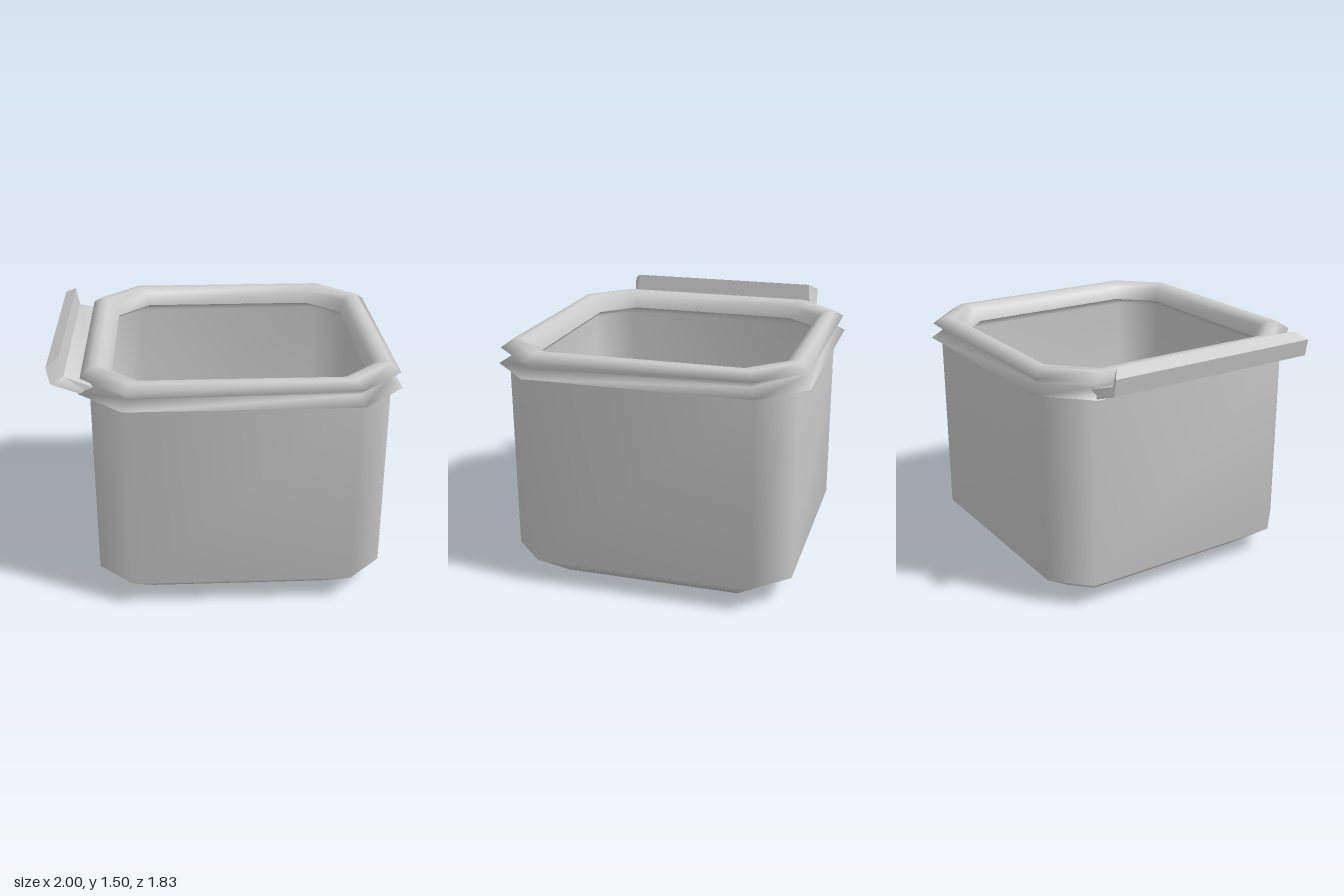
import * as THREE from 'three';
import { toCreasedNormals } from 'three/addons/utils/BufferGeometryUtils.js';

const CENTRE_X = 0.083;

// Eight corners of a square with cut corners: half width h, half flat length f
const octagon = (h, f) => [[h, -f], [h, f], [f, h], [-f, h], [-h, f], [-h, -f], [-f, -h], [f, -h]];

// Skin over rings of eight corners; each ring is [height, half width, half flat length]
function octagonLoft(rings) {
  const positions = [], index = [];
  rings.forEach(([y, h, f], i) => {
    octagon(h, f).forEach(([x, z], j) => {
      positions.push(x, y, z);
      if (i === 0) return;
      const k = (j + 1) % 8, a = (i - 1) * 8 + j, b = (i - 1) * 8 + k, c = i * 8 + j, d = i * 8 + k;
      index.push(a, c, b, b, c, d);
    });
  });
  const geometry = new THREE.BufferGeometry();
  geometry.setAttribute('position', new THREE.Float32BufferAttribute(positions, 3));
  geometry.setIndex(index);
  geometry.computeVertexNormals();
  return geometry;
}

// Bent strip along z; each section point is [x, y, half length]
function tabGeometry(section) {
  const positions = [], index = [], n = section.length;
  for (const side of [-1, 1]) for (const [x, y, z] of section) positions.push(x, y, side * z);
  for (let i = 0; i < n; i++) {
    const k = (i + 1) % n;
    index.push(i, k, i + n, k, k + n, i + n);
  }
  // End caps
  const outline = section.map(([x, y]) => new THREE.Vector2(x, y));
  for (const [a, b, c] of THREE.ShapeUtils.triangulateShape(outline, [])) {
    index.push(a, c, b, a + n, b + n, c + n);
  }
  const geometry = new THREE.BufferGeometry();
  geometry.setAttribute('position', new THREE.Float32BufferAttribute(positions, 3));
  geometry.setIndex(index);
  return toCreasedNormals(geometry, 1.0);
}

export function createModel() {
  const group = new THREE.Group();
  const material = new THREE.MeshStandardMaterial({ color: 0xcccccc, side: THREE.DoubleSide });
  const add = (name, geometry, x = 0) => {
    const mesh = new THREE.Mesh(geometry, material);
    mesh.name = name;
    mesh.position.x = x;
    group.add(mesh);
  };

  // Outer tub with sloped foot
  add('body', octagonLoft([
    [0, 0, 0], [0, 0.65, 0.53], [0.15, 0.848, 0.65], [1.29, 0.848, 0.65],
  ]), CENTRE_X);

  // Grooved rim: lower flange, groove, upper bead, inner lip
  add('rim', octagonLoft([
    [1.285, 0.848, 0.64], [1.297, 0.913, 0.66], [1.34, 0.838, 0.62], [1.39, 0.9, 0.655],
    [1.433, 0.845, 0.61], [1.433, 0.8, 0.58], [1.405, 0.755, 0.55], [1.33, 0.735, 0.535],
  ]), CENTRE_X);

  // Hollow inside
  add('interior', octagonLoft([
    [1.33, 0.735, 0.535], [1.28, 0.79, 0.59], [0.18, 0.79, 0.59], [0.05, 0.62, 0.5], [0.05, 0, 0],
  ]), CENTRE_X);

  // Bent handle on one side of the rim
  add('handleTab', tabGeometry([
    [-0.75, 1.285, 0.66], [-0.75, 1.335, 0.65], [-0.91, 1.388, 0.62],
    [-0.93, 1.5, 0.61], [-1, 1.46, 0.66], [-0.982, 1.36, 0.66], [-0.8, 1.293, 0.66],
  ]));

  return group;
}
